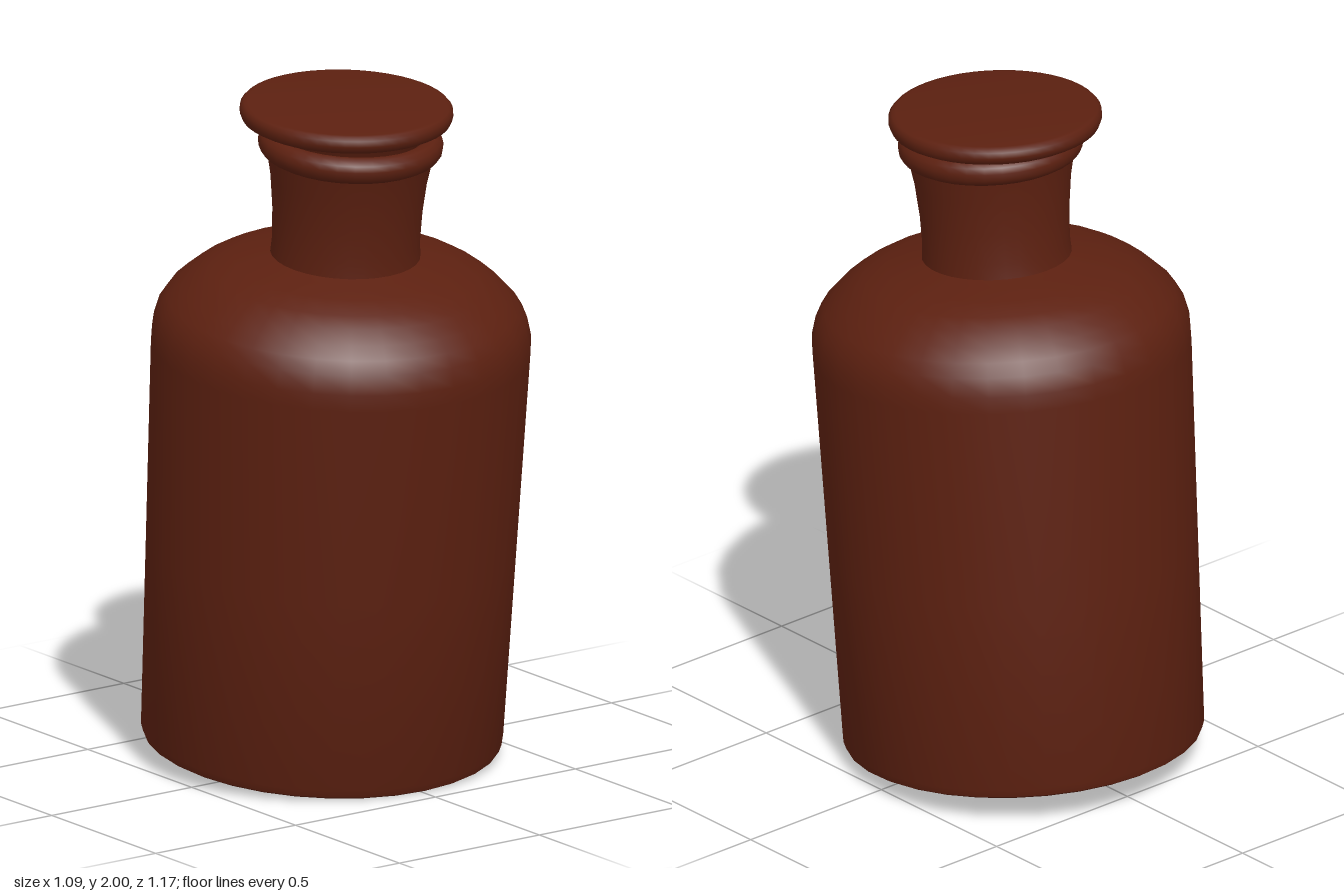
import * as THREE from 'three';
import { toCreasedNormals } from 'three/addons/utils/BufferGeometryUtils.js';

const glass = new THREE.MeshStandardMaterial({ color: 0x5c2010 });

// Turned part from [radius, height] pairs, listed from the bottom up
function turned(name, profile, segments) {
  const points = profile.map(([r, y]) => new THREE.Vector2(r, y));
  const geometry = toCreasedNormals(new THREE.LatheGeometry(points, segments), 0.7);
  const mesh = new THREE.Mesh(geometry, glass);
  mesh.name = name;
  return mesh;
}

export function createModel() {
  const model = new THREE.Group();
  model.name = 'stopperedBottle';

  // Bottle: flared body, round shoulder, neck, rolled lip and open mouth
  const bottle = turned('bottle', [
    [0, 0], [0.5, 0], [0.514, 0.008], [0.521, 0.03],
    [0.533, 0.6], [0.546, 1.2], [0.545, 1.25], [0.531, 1.305],
    [0.507, 1.342], [0.473, 1.376], [0.43, 1.411], [0.387, 1.436],
    [0.32, 1.46], [0.25, 1.476], [0.216, 1.485],
    [0.213, 1.53], [0.216, 1.62], [0.226, 1.72], [0.238, 1.785],
    [0.253, 1.793], [0.264, 1.808], [0.267, 1.828], [0.262, 1.846],
    [0.248, 1.859], [0.23, 1.863], [0.214, 1.855],
    [0.195, 1.7], [0.185, 1.5], [0, 1.5],
  ], 32);
  bottle.position.set(0.015, 0.05, -0.068);
  bottle.rotation.set(0.0925, 0, 0.0117);

  // Stopper: tapered plug under a wide flat disc, seated at a slight angle
  const stopper = turned('stopper', [
    [0, -0.32], [0.165, -0.32], [0.175, -0.31], [0.2, -0.14],
    [0.218, -0.085], [0.232, -0.058], [0.285, -0.055], [0.3, -0.047],
    [0.307, -0.03], [0.306, -0.012], [0.297, -0.002], [0.285, 0], [0, 0],
  ], 48);
  stopper.position.set(-0.0075, 1.98, 0.083);
  stopper.rotation.set(0.066, 0, 0.0117);

  model.add(bottle, stopper);
  return model;
}
